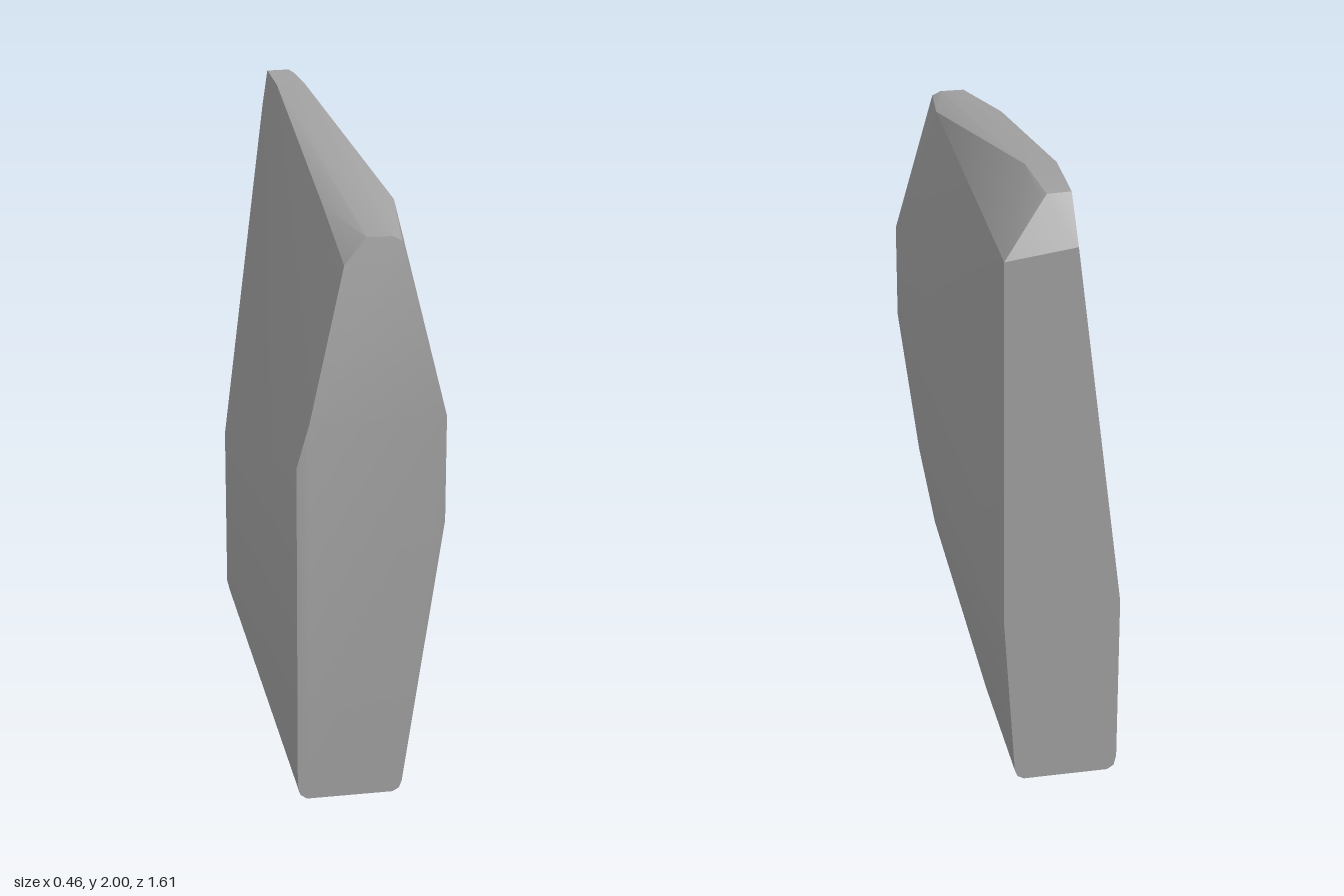
import * as THREE from 'three';
import { ConvexGeometry } from 'three/addons/geometries/ConvexGeometry.js';
import { toCreasedNormals } from 'three/addons/utils/BufferGeometryUtils.js';

const END = 0.805; // half depth of the slab

export function createModel() {
  const stone = new THREE.MeshStandardMaterial({ color: 0xa0a0a0 });

  // Rounded foot, the same at both ends
  const foot = [[-0.23, 0.05], [-0.222, 0.015], [-0.2, 0], [0.075, 0], [0.095, 0.012], [0.104, 0.035]];
  const corners = [];
  for (const z of [END, -END]) for (const [x, y] of foot) corners.push([x, y, z]);

  corners.push(
    // Flat front face
    [0.23, 0.92, END], [0.23, 1.26, END], [-0.19, 1.26, END], [-0.23, 1.12, END],
    // Upper edge of the sloping front
    [-0.07, 1.72, 0.718], [0, 1.8, 0.703], [0.08, 1.8, 0.703], [0.108, 1.785, 0.706],
    // Flat back face
    [-0.23, 0.64, -END], [-0.08, 1.86, -END], [0.14, 1.83, -END], [0.14, 0.6, -END],
    // Ridge and crown
    [-0.08, 1.82, 0.42], [0.14, 1.835, 0.42],
    [-0.078, 2, -0.49], [0.018, 2, -0.49], [-0.075, 2, -0.72], [0, 2, -0.725], [0.018, 1.99, -0.71],
    // Bulge on the left side
    [0.23, 1.27, 0.3], [0.23, 0.62, 0.33], [0.166, 0.85, -0.62], [0.128, 0.1, -0.42],
  );

  const hull = new ConvexGeometry(corners.map((p) => new THREE.Vector3(...p)));
  hull.deleteAttribute('normal');
  const slab = new THREE.Mesh(toCreasedNormals(hull, 0.42), stone);
  slab.name = 'standingStone';

  const group = new THREE.Group();
  group.name = 'stone';
  group.add(slab);
  return group;
}
